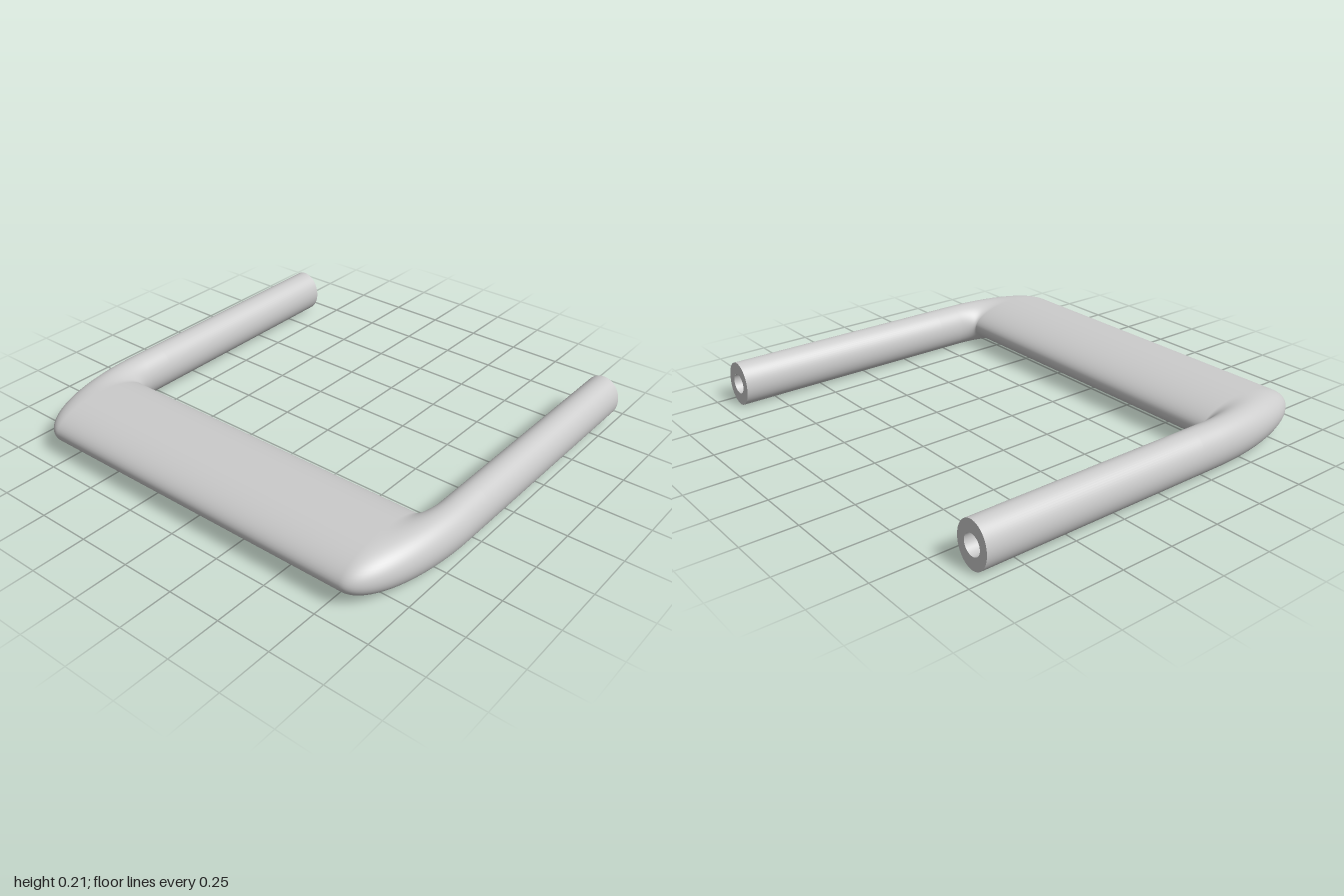
import * as THREE from 'three';

const BACK = -0.92;              // z of the leg ends
const RX = 0.0875, RY = 0.105;   // half width and half height of a leg
const BEND_X = 0.8, BEND_Z = 0.326, BEND_R = 0.1125, STRETCH = 2.97;
const BORE_R = 0.047, BORE_DEPTH = 0.35;
const SIDES = 64, BEND_STEPS = 32;

// One elliptical section swept up a leg, round both stretched bends and back
function gripGeometry() {
  const stations = [{ side: 1, t: 0, z: BACK }, { side: 1, t: 0, z: 0.2 }];
  for (const side of [1, -1]) {
    for (let i = 0; i <= BEND_STEPS; i++) {
      const t = (i / BEND_STEPS + (side < 0 ? 1 : 0)) * Math.PI / 2;
      stations.push({ side, t, z: BEND_Z });
    }
  }
  stations.push({ side: -1, t: Math.PI, z: 0.2 }, { side: -1, t: Math.PI, z: BACK });

  const positions = [], index = [];
  stations.forEach(({ side, t, z }, s) => {
    for (let i = 0; i < SIDES; i++) {
      const a = i / SIDES * Math.PI * 2;
      const r = BEND_R + RX * Math.cos(a);
      positions.push(side * BEND_X + r * Math.cos(t), RY + RY * Math.sin(a), z + r * STRETCH * Math.sin(t));
      if (s === stations.length - 1) continue;
      const j = (i + 1) % SIDES, p = s * SIDES, q = p + SIDES;
      index.push(p + i, p + j, q + j, p + i, q + j, q + i);
    }
  });
  const geometry = new THREE.BufferGeometry();
  geometry.setAttribute('position', new THREE.Float32BufferAttribute(positions, 3));
  geometry.setIndex(index);
  geometry.computeVertexNormals();
  return geometry;
}

export function createModel() {
  const group = new THREE.Group();
  const material = new THREE.MeshStandardMaterial({ color: 0xcccccc });
  const boreMaterial = new THREE.MeshStandardMaterial({ color: 0xcccccc, side: THREE.BackSide });
  const add = (name, geometry, mat, x, y, z) => {
    const mesh = new THREE.Mesh(geometry, mat);
    mesh.name = name;
    mesh.position.set(x, y, z);
    group.add(mesh);
  };

  add('handle', gripGeometry(), material, 0, 0, 0);

  // Flat leg ends, each with a blind round screw hole
  const face = new THREE.Shape().absellipse(0, 0, RX, RY, 0, Math.PI * 2);
  face.holes.push(new THREE.Path().absarc(0, 0, BORE_R, 0, Math.PI * 2, true));
  const faceGeometry = new THREE.ShapeGeometry(face, SIDES / 2).rotateY(Math.PI);
  const wall = new THREE.CylinderGeometry(BORE_R, BORE_R, BORE_DEPTH, 32, 1, true).rotateX(Math.PI / 2);
  const floor = new THREE.CircleGeometry(BORE_R, 32).rotateY(Math.PI);
  for (const [label, side] of [['left', 1], ['right', -1]]) {
    const x = side * (BEND_X + BEND_R);
    add(label + 'LegEnd', faceGeometry, material, x, RY, BACK);
    add(label + 'ScrewHole', wall, boreMaterial, x, RY, BACK + BORE_DEPTH / 2);
    add(label + 'ScrewHoleFloor', floor, material, x, RY, BACK + BORE_DEPTH);
  }
  return group;
}
